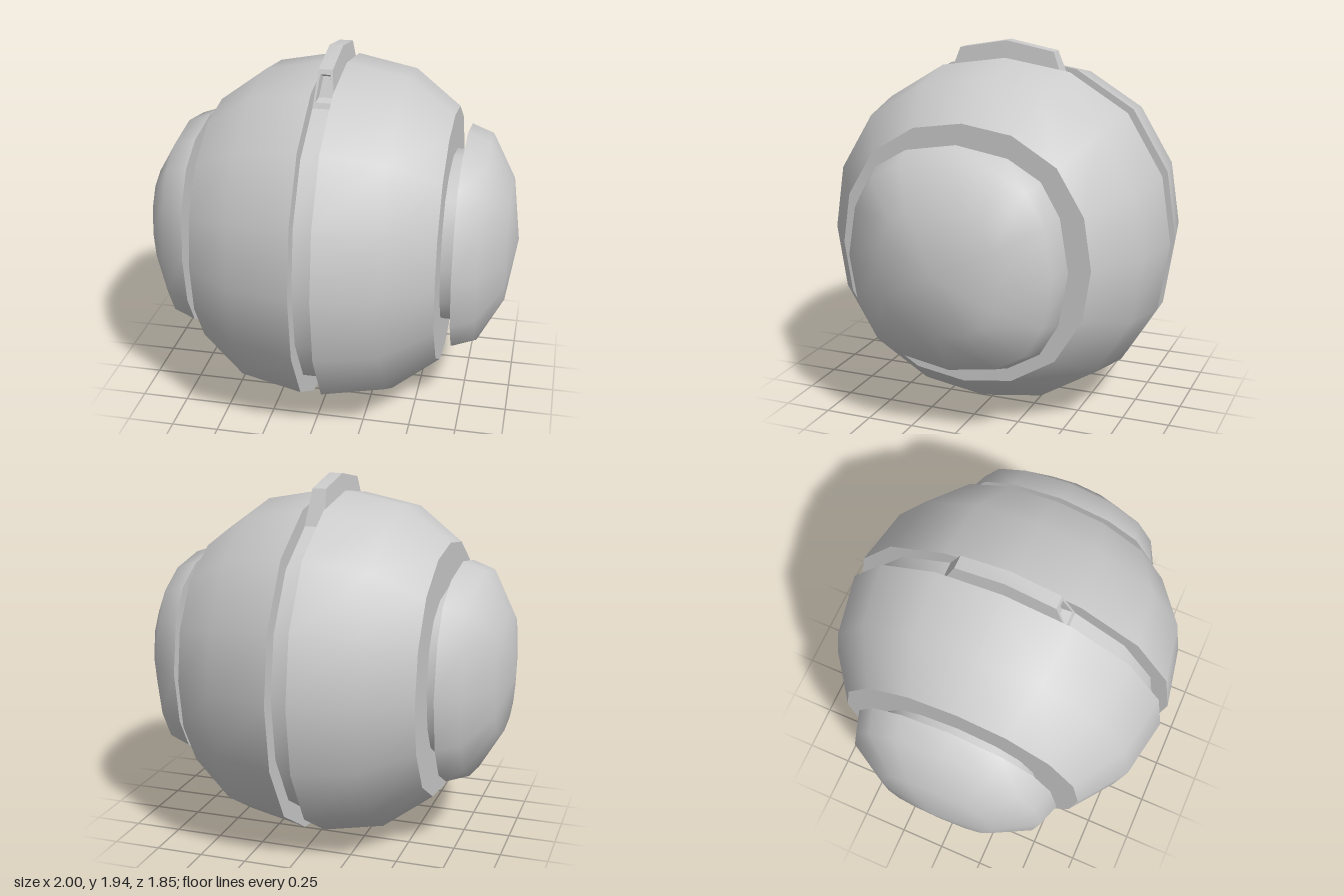
import * as THREE from 'three';
import { toCreasedNormals } from 'three/addons/utils/BufferGeometryUtils.js';

const CENTRE_Y = 0.928;
const material = new THREE.MeshStandardMaterial({ color: 0xcccccc, side: THREE.DoubleSide });

// Ring-shaped part turned about the x axis from [x, radius] points.
// bulge pushes the diagonals out and shift slides vertices toward them.
function turned(name, profile, side, bulge, shift = 0) {
  const points = profile.map(([x, r]) => new THREE.Vector2(r, x));
  const geometry = new THREE.LatheGeometry(points, 16);
  geometry.rotateZ(-side * Math.PI / 2);
  const p = geometry.attributes.position;
  for (let i = 0; i < p.count; i++) {
    const y = p.getY(i), z = p.getZ(i);
    const a = Math.atan2(z, y);
    const r = Math.hypot(y, z) * (1 + bulge * Math.sin(2 * a) ** 2);
    const b = a + shift * Math.sin(4 * a);
    p.setY(i, r * Math.cos(b));
    p.setZ(i, r * Math.sin(b));
  }
  const mesh = new THREE.Mesh(toCreasedNormals(geometry, 0.85), material);
  mesh.name = name;
  mesh.position.y = CENTRE_Y;
  return mesh;
}

// Tapered ridge following the top of the groove, with a recess in its front end.
function createRidge() {
  const pos = [];
  const quad = (a, b, c, d) => pos.push(...a, ...b, ...c, ...a, ...c, ...d);
  // Stations from front to back: base z, base y, top z, top y
  const stations = [
    [0.335, 1.71, 0.265, 1.895],
    [0, 1.76, 0, 1.943],
    [-0.335, 1.71, -0.265, 1.895],
  ].map(([bz, by, tz, ty]) => [
    [-0.055, by, bz], [0.055, by, bz], [0.036, ty, tz], [-0.036, ty, tz],
  ]);
  for (let i = 0; i < stations.length - 1; i++) {
    const f = stations[i], b = stations[i + 1];
    for (let k = 0; k < 4; k++) {
      const n = (k + 1) % 4;
      quad(f[n], f[k], b[k], b[n]);
    }
  }
  // Back end
  const [bl, br, tr, tl] = stations[2];
  quad(br, bl, tl, tr);
  // Front frame, recess walls and recess floor
  const outer = stations[0];
  const rim = [[-0.042, 1.738, 0.324], [0.042, 1.738, 0.324], [0.026, 1.87, 0.274], [-0.026, 1.87, 0.274]];
  const floor = [[-0.034, 1.75, 0.275], [0.034, 1.75, 0.275], [0.018, 1.85, 0.235], [-0.018, 1.85, 0.235]];
  for (let k = 0; k < 4; k++) {
    const n = (k + 1) % 4;
    quad(outer[k], outer[n], rim[n], rim[k]);
    quad(rim[k], rim[n], floor[n], floor[k]);
  }
  quad(...floor);
  const geometry = new THREE.BufferGeometry();
  geometry.setAttribute('position', new THREE.Float32BufferAttribute(pos, 3));
  const mesh = new THREE.Mesh(toCreasedNormals(geometry, 0.6), material);
  mesh.name = 'topRidge';
  return mesh;
}

export function createModel() {
  const group = new THREE.Group();
  group.name = 'sphericalPod';

  // Inner core seen in the central groove
  group.add(turned('core', [[-0.08, 0.835], [0.08, 0.835]], 1, 0.035));

  for (const side of [1, -1]) {
    const label = side > 0 ? 'left' : 'right';
    // Half shell with flat walls on both sides
    group.add(turned(label + 'Shell', [
      [0.055, 0.78], [0.055, 0.925], [0.38, 0.863], [0.63, 0.678], [0.63, 0.4],
    ], side, 0.035));
    // Short hub joining shell and cap
    group.add(turned(label + 'Hub', [[0.61, 0.45], [0.72, 0.45]], side, 0.06, 0.07));
    // Domed side cap
    group.add(turned(label + 'Cap', [
      [0.7, 0.4], [0.7, 0.585], [0.82, 0.543], [0.95, 0.32], [1, 0],
    ], side, 0.065, 0.075));
  }

  group.add(createRidge());
  return group;
}
